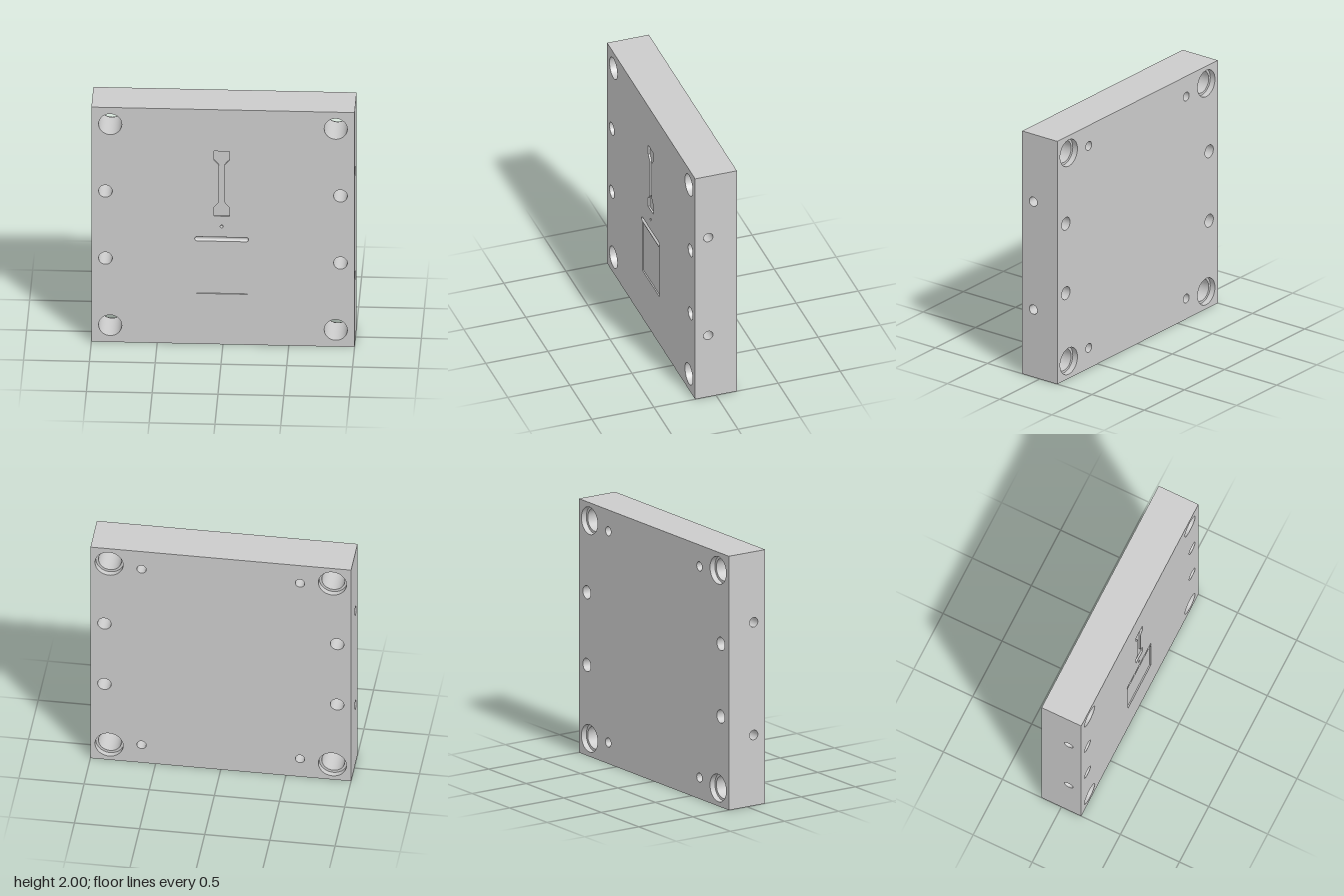
import * as THREE from 'three';

const SIZE = 2, HALF_T = 0.168, SEG = 48;
const mat = new THREE.MeshStandardMaterial({ color: 0xcccccc });
const inner = new THREE.MeshStandardMaterial({ color: 0xcccccc, side: THREE.DoubleSide });

// Outline helpers
const circle = (x, y, r) => new THREE.Path().absarc(x, y, r, 0, Math.PI * 2, false);
const poly = (pts) => new THREE.Path(pts.map(([x, y]) => new THREE.Vector2(x, y)));

function mesh(group, name, geometry, material = mat) {
  const m = new THREE.Mesh(geometry, material);
  m.name = name;
  group.add(m);
  return m;
}

// One flat outer face, with openings, in its own local plane
function face(group, name, w, h, holes, pos, rotX = 0, rotY = 0) {
  const s = new THREE.Shape(poly([[-w / 2, -h / 2], [w / 2, -h / 2], [w / 2, h / 2], [-w / 2, h / 2]]).getPoints());
  s.holes = holes;
  const m = mesh(group, name, new THREE.ShapeGeometry(s, SEG / 2));
  m.position.set(...pos);
  m.rotation.set(rotX, rotY, 0);
}

// Round bore wall running along z
function bore(group, name, x, y, r, z0, z1) {
  const g = new THREE.CylinderGeometry(r, r, Math.abs(z1 - z0), SEG, 1, true).rotateX(Math.PI / 2);
  mesh(group, name, g, inner).position.set(x, y, (z0 + z1) / 2);
}

// Flat ring (r0 > 0) or disc (r0 = 0) closing a step in a bore
function floor(group, name, x, y, r0, r1, z, faceBack) {
  const g = r0 > 0 ? new THREE.RingGeometry(r0, r1, SEG) : new THREE.CircleGeometry(r1, SEG);
  if (faceBack) g.rotateY(Math.PI);
  mesh(group, name, g).position.set(x, y, z);
}

// Shallow straight-walled pocket sunk into the front
function pocket(group, name, pts, depth) {
  const sub = new THREE.Group();
  sub.name = name;
  group.add(sub);
  const zt = HALF_T, zb = HALF_T - depth, pos = [];
  pts.forEach(([ax, ay], i) => {
    const [bx, by] = pts[(i + 1) % pts.length];
    pos.push(ax, ay, zt, bx, by, zb, ax, ay, zb, ax, ay, zt, bx, by, zt, bx, by, zb);
  });
  const wall = new THREE.BufferGeometry();
  wall.setAttribute('position', new THREE.Float32BufferAttribute(pos, 3));
  wall.computeVertexNormals();
  mesh(sub, name + 'Wall', wall, inner);
  const base = new THREE.ShapeGeometry(new THREE.Shape(poly(pts).getPoints()));
  mesh(sub, name + 'Floor', base).position.z = zb;
}

export function createModel() {
  const model = new THREE.Group();
  model.name = 'mouldPlate';
  const plate = new THREE.Group();
  plate.name = 'plate';
  plate.position.y = SIZE / 2; // plate is modelled around its own centre
  model.add(plate);

  const corners = [], bolts = [], blinds = [];
  for (const sx of [-1, 1]) for (const sy of [-1, 1]) {
    corners.push([sx * 0.857, sy * 0.857]);
    bolts.push([sx * 0.893, sy * 0.286]);
    blinds.push([sx * 0.608, sy * 0.832]);
  }
  const R = { corner: 0.088, counter: 0.108, bolt: 0.052, blind: 0.036, side: 0.038, pin: 0.012, groove: 0.018 };
  const cx = -0.01; // cavity centre line

  // Dumbbell test-bar cavity: one quarter mirrored into a closed outline
  const quarter = [[0.02, 0.152], [0.025, 0.162], [0.036, 0.176], [0.058, 0.2], [0.058, 0.277]];
  const rev = [...quarter].reverse();
  const bar = [
    ...quarter.map(([x, y]) => [x, y]), ...rev.map(([x, y]) => [-x, y]),
    ...quarter.map(([x, y]) => [-x, -y]), ...rev.map(([x, y]) => [x, -y]),
  ].map(([x, y]) => [cx + x, 0.369 + y]);
  const square = [[-0.2, -0.57], [0.187, -0.57], [0.187, -0.13], [-0.2, -0.13]];

  // Runner groove outline
  const gy = -0.104, gl = 0.187;
  const slot = new THREE.Path();
  slot.absarc(cx + gl, gy, R.groove, -Math.PI / 2, Math.PI / 2, false);
  slot.absarc(cx - gl, gy, R.groove, Math.PI / 2, Math.PI * 1.5, false);
  slot.closePath();

  // Outer faces
  const ring = (list, r) => list.map(([x, y]) => circle(x, y, r));
  face(plate, 'frontFace', SIZE, SIZE, [...ring(corners, R.corner), ...ring(bolts, R.bolt),
    circle(cx, 0.005, R.pin), slot, poly(bar), poly(square)], [0, 0, HALF_T]);
  face(plate, 'backFace', SIZE, SIZE, [...ring(corners, R.counter), ...ring(bolts, R.bolt),
    ...ring(blinds, R.blind)], [0, 0, -HALF_T], 0, Math.PI);
  face(plate, 'topFace', SIZE, HALF_T * 2, [], [0, 1, 0], -Math.PI / 2);
  face(plate, 'bottomFace', SIZE, HALF_T * 2, [], [0, -1, 0], Math.PI / 2);
  const sideZ = 0.062, sideY = 0.444;
  for (const s of [-1, 1]) {
    const holes = [-sideY, sideY].map((y) => circle(-s * sideZ, y, R.side));
    face(plate, s > 0 ? 'leftFace' : 'rightFace', HALF_T * 2, SIZE, holes, [s, 0, 0], 0, s * Math.PI / 2);
  }

  // Corner guide holes, counterbored from the back
  const step = -HALF_T + 0.045;
  for (const [x, y] of corners) {
    bore(plate, 'guideHole', x, y, R.corner, step, HALF_T);
    bore(plate, 'counterbore', x, y, R.counter, -HALF_T, step);
    floor(plate, 'counterboreStep', x, y, R.corner, R.counter, step, true);
  }

  // Bolt holes straight through
  for (const [x, y] of bolts) bore(plate, 'boltHole', x, y, R.bolt, -HALF_T, HALF_T);

  // Blind holes in the back
  for (const [x, y] of blinds) {
    bore(plate, 'blindHole', x, y, R.blind, -HALF_T, 0);
    floor(plate, 'blindHoleEnd', x, y, 0, R.blind, 0, true);
  }

  // Cooling channels running across the full width
  for (const y of [-sideY, sideY]) {
    const g = new THREE.CylinderGeometry(R.side, R.side, SIZE, SEG, 1, true).rotateZ(Math.PI / 2);
    mesh(plate, 'coolingChannel', g, inner).position.set(0, y, sideZ);
  }

  // Small pin hole in the front
  bore(plate, 'pinHole', cx, 0.005, R.pin, HALF_T - 0.04, HALF_T);
  floor(plate, 'pinHoleEnd', cx, 0.005, 0, R.pin, HALF_T - 0.04, false);

  // Half-round runner groove with ball ends
  const profile = [];
  for (const s of [-1, 1]) for (let i = 0; i <= 8; i++) {
    const a = (s < 0 ? i - 8 : i) / 8 * Math.PI / 2;
    profile.push(new THREE.Vector2(R.groove * Math.cos(a), s * gl + R.groove * Math.sin(a)));
  }
  const groove = new THREE.LatheGeometry(profile, 20, Math.PI / 2, Math.PI).rotateZ(Math.PI / 2);
  mesh(plate, 'runnerGroove', groove, inner).position.set(cx, gy, HALF_T);

  // Cavities
  pocket(plate, 'testBarCavity', bar, 0.014);
  pocket(plate, 'squareCavity', square, 0.01);
  return model;
}
